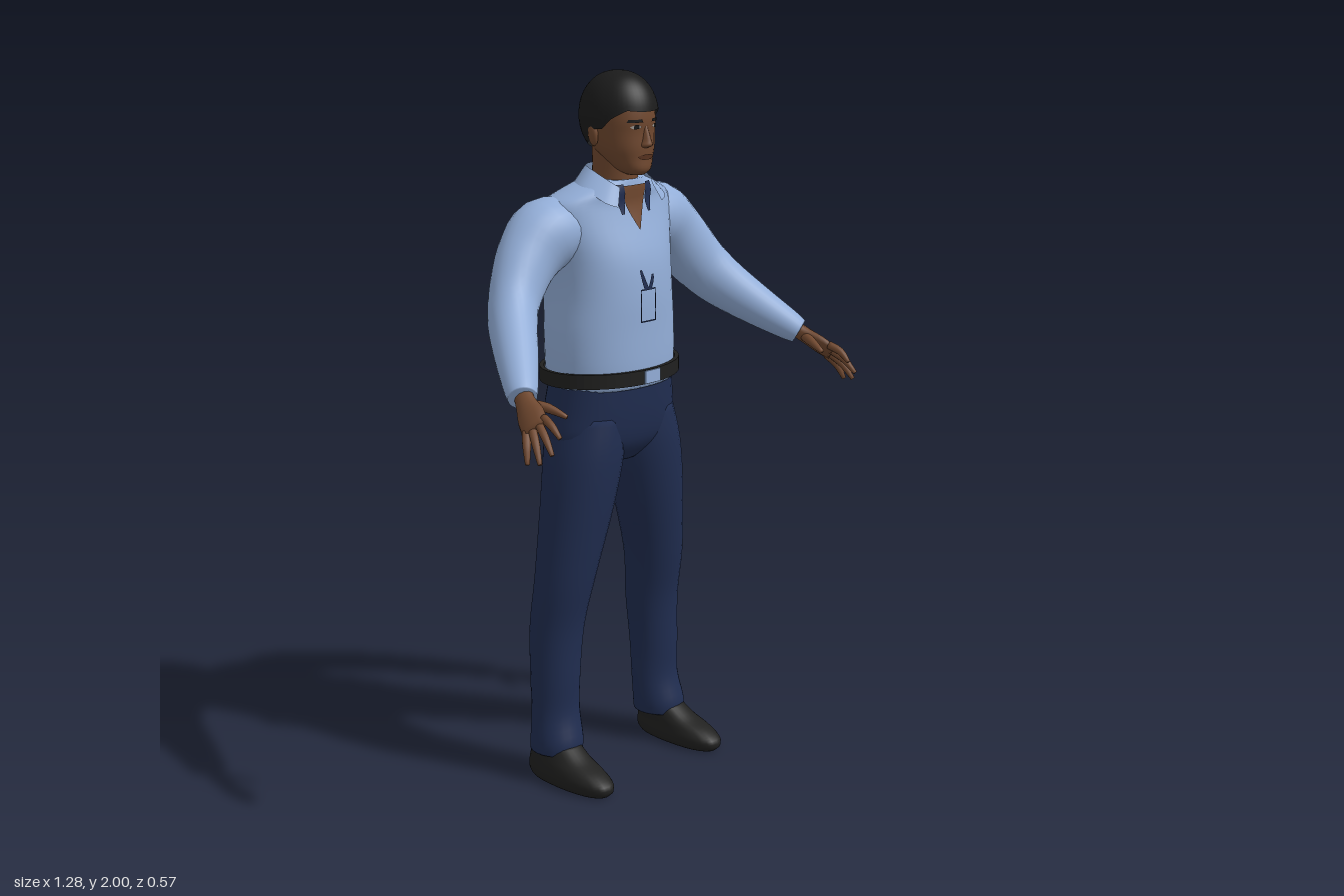
import * as THREE from 'three';

const mat = (name, color) => {
  const m = new THREE.MeshStandardMaterial({ color, side: THREE.DoubleSide });
  m.name = name;
  return m;
};
const V = (x, y, z) => new THREE.Vector3(x, y, z);

// Smoothly resample rows of numbers
function densify(rows, k) {
  const out = [], n = rows.length, at = i => rows[Math.max(0, Math.min(n - 1, i))];
  for (let i = 0; i < n - 1; i++) for (let s = 0; s < k; s++) {
    const t = s / k;
    out.push(rows[i].map((b, c) => {
      const a = at(i - 1)[c], d = at(i + 1)[c], e = at(i + 2)[c];
      return b + 0.5 * t * (d - a + t * (2 * a - 5 * b + 4 * d - e + t * (3 * (b - d) + e - a)));
    }));
  }
  out.push(rows[n - 1]);
  return out;
}

// Indexed grid of points, optionally closed around and capped
function grid(rings, wrap, cap) {
  const n = rings[0].length, pos = [], idx = [], m = rings.length;
  rings.forEach(r => r.forEach(p => pos.push(p.x, p.y, p.z)));
  for (let i = 0; i < m - 1; i++) for (let j = 0; j < (wrap ? n : n - 1); j++) {
    const a = i * n + j, b = i * n + (j + 1) % n;
    idx.push(a, a + n, b, b, a + n, b + n);
  }
  if (cap) [0, m - 1].forEach((i, end) => {
    const c = rings[i].reduce((s, p) => s.add(p), V(0, 0, 0)).divideScalar(n), k = pos.length / 3;
    pos.push(c.x, c.y, c.z);
    for (let j = 0; j < n; j++) {
      const a = i * n + j, b = i * n + (j + 1) % n;
      if (end) idx.push(k, b, a);
      else idx.push(k, a, b);
    }
  });
  const g = new THREE.BufferGeometry();
  g.setAttribute('position', new THREE.Float32BufferAttribute(pos, 3));
  g.setIndex(idx);
  g.computeVertexNormals();
  return g;
}

// Loft of rows [x, y, z, radiusU, radiusV]; upright unless a bent path is asked for
function loft(rows, { bent = false, axis = null, power = 2, n = 28, k = 4 } = {}) {
  const R = densify(rows, k), q = 2 / power;
  const P = R.map(r => V(r[0], r[1], r[2]));
  return grid(R.map((r, i) => {
    let u = V(1, 0, 0), v = V(0, 0, 1);
    if (bent) {
      const t = P[Math.min(i + 1, P.length - 1)].clone().sub(P[Math.max(i - 1, 0)]).normalize();
      u = axis ? axis.clone().addScaledVector(t, -axis.dot(t)).normalize() : t.clone().cross(V(0, 1, 0)).normalize();
      v = u.clone().cross(t);
    }
    return Array.from({ length: n }, (_, j) => {
      const a = j / n * Math.PI * 2, c = Math.cos(a), s = Math.sin(a);
      return P[i].clone().addScaledVector(u, r[3] * Math.sign(c) * Math.abs(c) ** q)
        .addScaledVector(v, r[4] * Math.sign(s) * Math.abs(s) ** q);
    });
  }), true, true);
}

export function createModel() {
  const G = new THREE.Group();
  const skin = mat('skin', 0x70482f), shirt = mat('shirt blue', 0x93aed8), navy = mat('trouser navy', 0x202d50);
  const black = mat('hair black', 0x1b1b1b), leather = mat('leather', 0x20201f);
  const lip = mat('lip brown', 0x57321f), white = mat('eye white', 0xa8a29c);
  const add = (name, geo, m, parent = G) => {
    const o = new THREE.Mesh(geo, m);
    o.name = name;
    parent.add(o);
    return o;
  };
  const upright = rows => rows.map(r => [0, ...r]);

  // Shirt body
  const torso = add('shirtBody', loft(upright([
    [1.14, -0.115, 0.19, 0.145], [1.2, -0.115, 0.198, 0.15], [1.3, -0.117, 0.198, 0.152],
    [1.4, -0.12, 0.19, 0.155], [1.5, -0.127, 0.195, 0.151], [1.6, -0.138, 0.222, 0.128],
    [1.65, -0.13, 0.215, 0.106], [1.68, -0.115, 0.165, 0.094], [1.71, -0.1, 0.09, 0.075],
  ]), { power: 2.2, n: 40 }), shirt);

  // Neck and head
  add('neck', loft(upright([[1.64, -0.095, 0.068, 0.07], [1.72, -0.092, 0.06, 0.065], [1.82, -0.09, 0.062, 0.068]])), skin);
  const head = add('head', loft(upright([
    [1.725, -0.015, 0.022, 0.026], [1.74, -0.025, 0.045, 0.05], [1.77, -0.045, 0.064, 0.07],
    [1.8, -0.06, 0.077, 0.087], [1.84, -0.07, 0.083, 0.096], [1.88, -0.075, 0.085, 0.103],
    [1.93, -0.08, 0.08, 0.098], [1.97, -0.08, 0.055, 0.07],
  ]), { power: 2.2 }), skin);
  add('nose', loft(upright([
    [1.798, 0.014, 0.009, 0.01], [1.806, 0.02, 0.019, 0.024], [1.82, 0.02, 0.014, 0.022],
    [1.845, 0.018, 0.009, 0.015], [1.87, 0.012, 0.008, 0.01],
  ]), { n: 14 }), skin);

  // Hair cap with a hairline that falls toward the nape
  const hairline = [[-1.01, 1.785], [-0.4, 1.81], [-0.05, 1.85], [0.25, 1.85], [0.5, 1.88], [0.8, 1.902], [1.01, 1.897]];
  const lineY = c => {
    const i = hairline.findIndex((h, k) => k > 0 && c <= h[0]), [a, ya] = hairline[i - 1], [b, yb] = hairline[i];
    return ya + (yb - ya) * (c - a) / (b - a);
  };
  add('hair', grid(Array.from({ length: 15 }, (_, i) => Array.from({ length: 48 }, (_, j) => {
    const a = j / 48 * Math.PI * 2, s = Math.sin(a);
    const low = Math.asin((lineY(s) - 1.88) / 0.12), f = low + (Math.PI / 2 - low) * i / 14;
    const r = Math.max(0.001, Math.cos(f)) ** 0.9;
    return V(Math.cos(a) * r * 0.1, 1.88 + 0.12 * Math.sin(f), -0.078 + s * r * 0.117);
  })), true, false), black);

  // Thin plates laid on a surface, from rows [y, x0, x1]
  const ray = new THREE.Raycaster();
  const patch = (name, m, target, rows, off = 0.004) => add(name, grid(densify(rows, 3).map(([y, a, b]) =>
    Array.from({ length: 6 }, (_, j) => {
      const x = a + (b - a) * j / 5;
      ray.set(V(x, y, 1), V(0, 0, -1));
      const hit = ray.intersectObject(target)[0];
      return V(x, y, (hit ? hit.point.z : -0.05) + off);
    })), false, false), m);

  // Face details
  for (const s of [-1, 1]) {
    const across = (y, a, b) => s > 0 ? [y, a, b] : [y, -b, -a];
    patch('eyeWhite', white, head, [across(1.862, 0.028, 0.04), across(1.857, 0.02, 0.05), across(1.852, 0.028, 0.042)], 0.003);
    patch('iris', black, head, [across(1.863, 0.028, 0.042), across(1.852, 0.028, 0.042)], 0.005);
    patch('eyebrow', black, head, [across(1.877, 0.02, 0.055), across(1.869, 0.016, 0.058)]);
    const ear = add('ear', new THREE.SphereGeometry(1, 14, 10), skin);
    ear.scale.set(0.011, 0.033, 0.02);
    ear.position.set(s * 0.088, 1.835, -0.088);
    ear.rotation.set(-0.15, s * 0.25, 0);
  }
  patch('mouth', lip, head, [[1.782, -0.01, 0.01], [1.777, -0.03, 0.03], [1.768, -0.016, 0.016]]);

  // Open neckline, lanyard, badge and pens
  patch('openNeckline', skin, torso, [[1.695, -0.045, 0.045], [1.64, -0.032, 0.032], [1.575, -0.001, 0.001]], 0.005);
  for (const s of [-1, 1])
    patch('lanyard', navy, torso, [[1.7, 0.042, 0.066], [1.66, 0.038, 0.064], [1.62, 0.045, 0.055]]
      .map(([y, a, b]) => s > 0 ? [y, a, b] : [y, -b, -a]), 0.008);
  for (const r of [[1.417, 1.413, -0.032, 0.026], [1.329, 1.325, -0.032, 0.026],
    [1.417, 1.325, -0.032, -0.029], [1.417, 1.325, 0.023, 0.026]])
    patch('badgeEdge', navy, torso, [[r[0], r[2], r[3]], [r[1], r[2], r[3]]]);
  patch('pen', navy, torso, [[1.47, -0.032, -0.024], [1.44, -0.026, -0.012], [1.415, -0.018, 0]], 0.005);
  patch('clip', navy, torso, [[1.455, 0.012, 0.02], [1.435, 0.004, 0.018], [1.415, -0.006, 0.008]], 0.005);

  // Belt and buckle
  const ring = new THREE.Shape().absellipse(0, 0.115, 0.222, 0.165, 0, Math.PI * 2, false, 0);
  ring.holes.push(new THREE.Path().absellipse(0, 0.115, 0.21, 0.153, 0, Math.PI * 2, true, 0));
  const beltGeo = new THREE.ExtrudeGeometry(ring, { depth: 0.04, bevelEnabled: false, curveSegments: 28 });
  add('belt', beltGeo.rotateX(-Math.PI / 2).translate(0, 1.154, 0), leather);
  add('buckle', new THREE.BoxGeometry(0.058, 0.036, 0.008).translate(0, 1.174, 0.05), shirt);

  // Trouser seat
  add('trouserSeat', loft(upright([
    [0.92, -0.11, 0.06, 0.07], [0.96, -0.112, 0.17, 0.105], [1.0, -0.115, 0.212, 0.125],
    [1.07, -0.118, 0.205, 0.138], [1.16, -0.112, 0.187, 0.137],
  ]), { power: 2.3, n: 36 }), navy);

  for (const s of [-1, 1]) {
    const side = s > 0 ? 'left' : 'right';
    const mir = rows => rows.map(([x, ...r]) => [s * x, ...r]);

    // Collar leaf, given as top and bottom edges
    const edge = densify([
      [0, 1.745, -0.165, 0, 1.69, -0.195], [0.06, 1.745, -0.145, 0.09, 1.695, -0.165],
      [0.085, 1.735, -0.09, 0.127, 1.695, -0.09], [0.077, 1.71, -0.035, 0.118, 1.66, -0.018],
      [0.062, 1.695, -0.012, 0.085, 1.645, 0.004],
    ], 4);
    const tops = edge.map(r => V(s * r[0], r[1], r[2])), lows = edge.map(r => V(s * r[3], r[4], r[5]));
    add(side + 'Collar', grid(s > 0 ? [tops, lows] : [lows, tops], false, false), shirt);

    // Sleeve
    add(side + 'Sleeve', loft(mir([
      [0.12, 1.575, -0.14, 0.09, 0.08], [0.21, 1.57, -0.148, 0.1, 0.1], [0.29, 1.51, -0.14, 0.082, 0.092],
      [0.36, 1.425, -0.112, 0.07, 0.082], [0.41, 1.365, -0.068, 0.066, 0.074], [0.47, 1.3, 0.01, 0.058, 0.06],
      [0.53, 1.24, 0.09, 0.045, 0.044], [0.548, 1.222, 0.115, 0.038, 0.036],
    ]), { bent: true }), shirt);

    // Hand: palm, four fingers and a thumb
    const hand = new THREE.Group();
    hand.name = side + 'Hand';
    G.add(hand);
    const spread = V(s * 0.51, -0.65, -0.56);
    const limb = (name, rows) => add(name, loft(mir(rows), { bent: true, axis: spread, n: 12, k: 3 }), skin, hand);
    limb('palm', [[0.535, 1.235, 0.1, 0.026, 0.022], [0.555, 1.212, 0.135, 0.029, 0.02],
      [0.573, 1.188, 0.172, 0.04, 0.018], [0.59, 1.165, 0.207, 0.038, 0.013]]);
    const tips = [[0.575, 1.152, 0.28], [0.605, 1.115, 0.282], [0.625, 1.09, 0.258], [0.632, 1.084, 0.22]];
    tips.forEach((p, i) => {
      const o = (i - 1.5) * 0.02, b = [0.583 + 0.51 * o, 1.173 - 0.65 * o, 0.197 - 0.56 * o];
      const mid = b.map((c, d) => (c + p[d]) / 2 + (d === 1 ? 0.006 : 0.003));
      limb('finger', [[...b, 0.011, 0.012], [...mid, 0.0105, 0.011], [...p, 0.006, 0.006]]);
    });
    limb('thumb', [[0.55, 1.21, 0.135, 0.014, 0.014], [0.525, 1.205, 0.182, 0.013, 0.013], [0.508, 1.187, 0.235, 0.006, 0.007]]);

    // Trouser leg
    add(side + 'TrouserLeg', loft(mir([
      [0.213, 0.085, -0.125, 0.072, 0.078], [0.211, 0.12, -0.125, 0.075, 0.077], [0.205, 0.2, -0.135, 0.072, 0.066],
      [0.203, 0.3, -0.137, 0.073, 0.07], [0.194, 0.45, -0.137, 0.079, 0.077], [0.179, 0.6, -0.117, 0.088, 0.086],
      [0.142, 0.8, -0.106, 0.104, 0.105], [0.115, 0.95, -0.106, 0.11, 0.117], [0.1, 1.06, -0.115, 0.095, 0.12],
    ])), navy);

    // Shoe
    add(side + 'Shoe', loft(mir([
      [0.225, 0, -0.055, 0.05, 0.145], [0.225, 0.014, -0.053, 0.058, 0.156], [0.225, 0.034, -0.055, 0.061, 0.154],
      [0.224, 0.056, -0.072, 0.058, 0.134], [0.22, 0.078, -0.1, 0.055, 0.102], [0.215, 0.11, -0.125, 0.05, 0.075],
    ]), { power: 2.3 }), leather);
  }
  return G;
}
